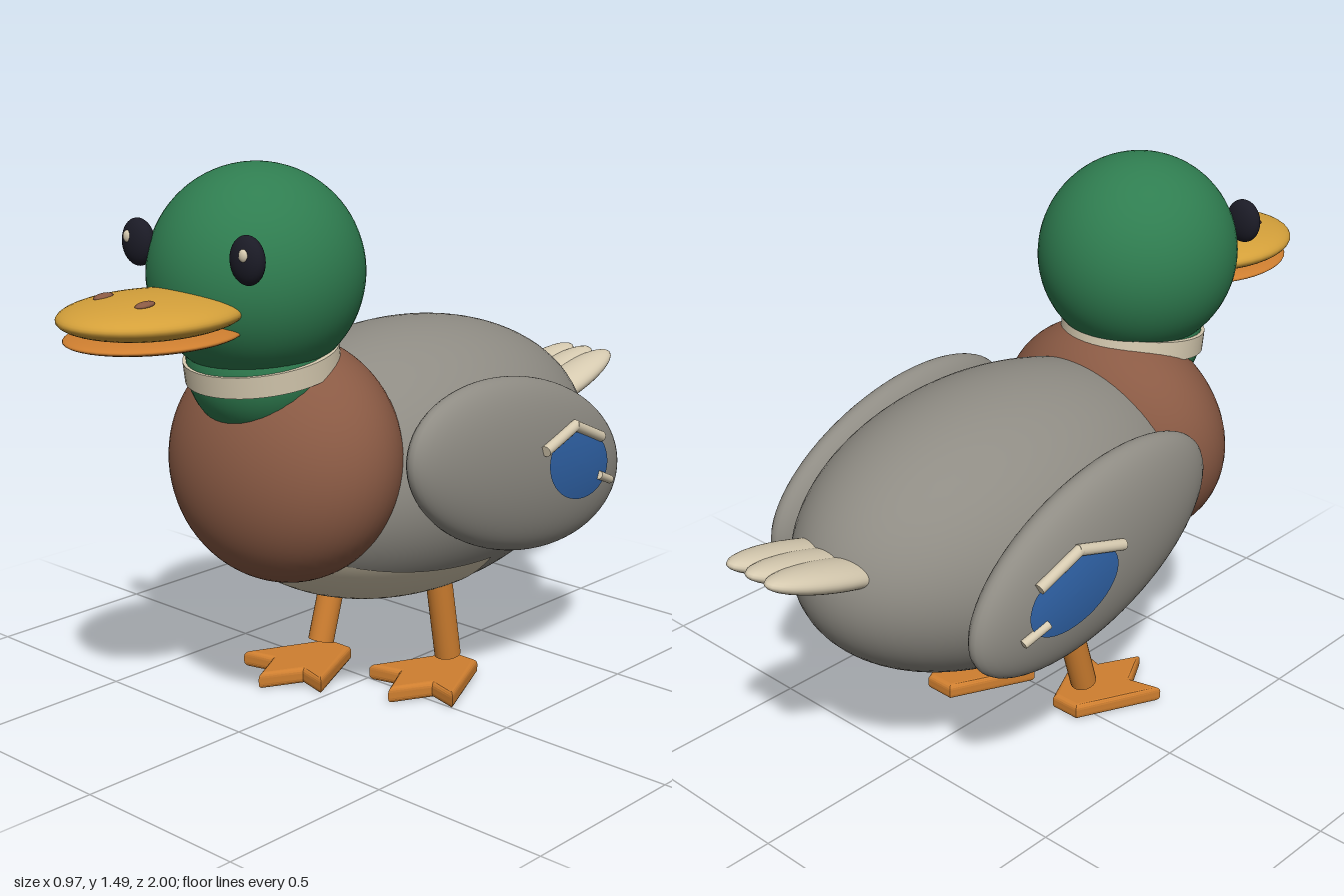
import * as THREE from 'three';

const mat = (name, color) => Object.assign(new THREE.MeshStandardMaterial({ color }), { name });

export function createModel() {
  const root = new THREE.Group();
  root.name = 'duck';
  const green = mat('head green', 0x2f7d50);
  const brown = mat('chest brown', 0x8a5a44);
  const grey = mat('body grey', 0x8f8c84);
  const cream = mat('cream', 0xd6cab0);
  const yellow = mat('bill yellow', 0xd4a03a);
  const orange = mat('leg orange', 0xcf7f30);
  const black = mat('eye black', 0x1b1b26);
  const blue = mat('wing patch blue', 0x2f62a6);
  blue.side = THREE.DoubleSide;

  const add = (name, geo, material, pos = [0, 0, 0], rotX = 0) => {
    const m = new THREE.Mesh(geo, material);
    m.name = name;
    m.position.set(...pos);
    m.rotation.x = rotX;
    root.add(m);
    return m;
  };
  const ellipsoid = (name, material, pos, radii, rotX = 0, seg = 40) =>
    add(name, new THREE.SphereGeometry(1, seg, Math.round(seg * 0.7)).scale(...radii), material, pos, rotX);
  const rod = (name, material, a, b, r) => {
    const p = new THREE.Vector3(...a), q = new THREE.Vector3(...b);
    const m = add(name, new THREE.CylinderGeometry(r, r, p.distanceTo(q), 20), material);
    m.position.copy(p).lerp(q, 0.5);
    m.quaternion.setFromUnitVectors(new THREE.Vector3(0, 1, 0), q.sub(p).normalize());
    return m;
  };

  // Body, chest and pale belly patch lying on the body's underside
  const bodyPos = [0, 0.63, -0.145];
  ellipsoid('body', grey, bodyPos, [0.4, 0.38, 0.65], 0, 64);
  ellipsoid('chest', brown, [0, 0.715, 0.32], [0.35, 0.325, 0.252], -0.2, 56);
  const half = 0.92;
  const patch = new THREE.SphereGeometry(1, 40, 24, Math.PI / 2 - half, 2 * half, 0, Math.PI / 2);
  patch.rotateX(Math.PI / 2).scale(0.403, 0.383, 0.653);
  // keep the patch on the lower side
  patch.computeBoundingBox();
  if (patch.boundingBox.max.y > 0.2) patch.rotateZ(Math.PI);
  add('bellyPatch', patch, cream, bodyPos);

  // Neck, collar and head
  ellipsoid('neck', green, [0, 0.98, 0.4], [0.19, 0.19, 0.19]);
  add('collar', new THREE.CylinderGeometry(0.2, 0.2, 0.055, 48), cream, [0, 0.985, 0.395], 0.15);
  ellipsoid('head', green, [0, 1.215, 0.41], [0.27, 0.275, 0.28], 0, 56);

  // Bill
  ellipsoid('upperBill', yellow, [0, 1.16, 0.755], [0.2, 0.05, 0.245]);
  ellipsoid('lowerBill', orange, [0, 1.109, 0.75], [0.188, 0.024, 0.235]);

  // Tail feathers
  for (const x of [-0.07, 0, 0.07])
    ellipsoid('tailFeather', cream, [x, 0.727, -0.79], [0.068, 0.036, 0.219], 0.28, 28);

  // Outer wing surface as a function of z and y
  const tilt = -0.27, wing = { x: 0.37, y: 0.66, z: -0.19, r: [0.093, 0.235, 0.45] };
  const wingX = (z, y) => {
    const dy = y - wing.y, dz = z - wing.z, c = Math.cos(tilt), s = Math.sin(tilt);
    const ly = (dy * c + dz * s) / wing.r[1], lz = (dz * c - dy * s) / wing.r[2];
    return wing.x + wing.r[0] * Math.sqrt(Math.max(0, 1 - ly * ly - lz * lz));
  };
  // Top edge of the blue patch: a shallow roof line
  const roof = z => (z > -0.33 ? 0.755 - (z + 0.33) * 0.27 : 0.755 + (z + 0.33) * 0.46);

  for (const s of [-1, 1]) {
    const side = s > 0 ? 'left' : 'right';
    ellipsoid(side + 'Eye', black, [s * 0.195, 1.295, 0.625], [0.053, 0.06, 0.03], 0, 28);
    ellipsoid(side + 'EyeGlint', cream, [s * 0.207, 1.31, 0.65], [0.014, 0.016, 0.009], 0, 14);
    ellipsoid(side + 'Nostril', brown, [s * 0.075, 1.204, 0.84], [0.017, 0.008, 0.028], 0.1, 16);
    ellipsoid(side + 'Wing', grey, [s * wing.x, wing.y, wing.z], wing.r, tilt, 48);

    // Blue patch draped over the wing
    const disc = new THREE.RingGeometry(0.001, 1, 40, 6), p = disc.attributes.position;
    for (let i = 0; i < p.count; i++) {
      const u = p.getX(i), v = p.getY(i);
      const z = -0.347 + 0.148 * u;
      const y = Math.min(0.645 + 0.1 * v + 0.025 * u, roof(z) - 0.01);
      p.setXYZ(i, s * (wingX(z, y) + 0.007), y, z);
    }
    if (s > 0) disc.index.array.reverse();
    disc.computeVertexNormals();
    add(side + 'WingPatch', disc, blue);

    // Pale bars around the patch
    const on = (z, y) => [s * (wingX(z, y) + 0.008), y, z];
    rod(side + 'WingBar', cream, on(-0.18, 0.715), on(-0.335, 0.755), 0.015);
    rod(side + 'WingBar', cream, on(-0.325, 0.755), on(-0.462, 0.695), 0.015);
    rod(side + 'WingBar', cream, on(-0.44, 0.592), on(-0.515, 0.56), 0.012);

    // Legs in a walking stance
    const x = s * 0.165, footZ = s > 0 ? -0.15 : 0.02;
    rod(side + 'Leg', orange, [x, 0.075, footZ], [x, 0.31, s > 0 ? -0.108 : -0.05], 0.037);

    // Webbed foot with three toes
    const outline = [[-0.035, -0.065], [0.035, -0.065], [0.138, 0.145], [0.055, 0.12], [0, 0.228],
      [-0.055, 0.12], [-0.138, 0.145]];
    const foot = new THREE.ExtrudeGeometry(new THREE.Shape(outline.map(q => new THREE.Vector2(...q))),
      { depth: 0.016, bevelThickness: 0.015, bevelSize: 0.014, bevelSegments: 4 });
    foot.rotateX(Math.PI / 2);
    add(side + 'Foot', foot, orange, [x, 0.031, footZ]);
  }
  return root;
}
